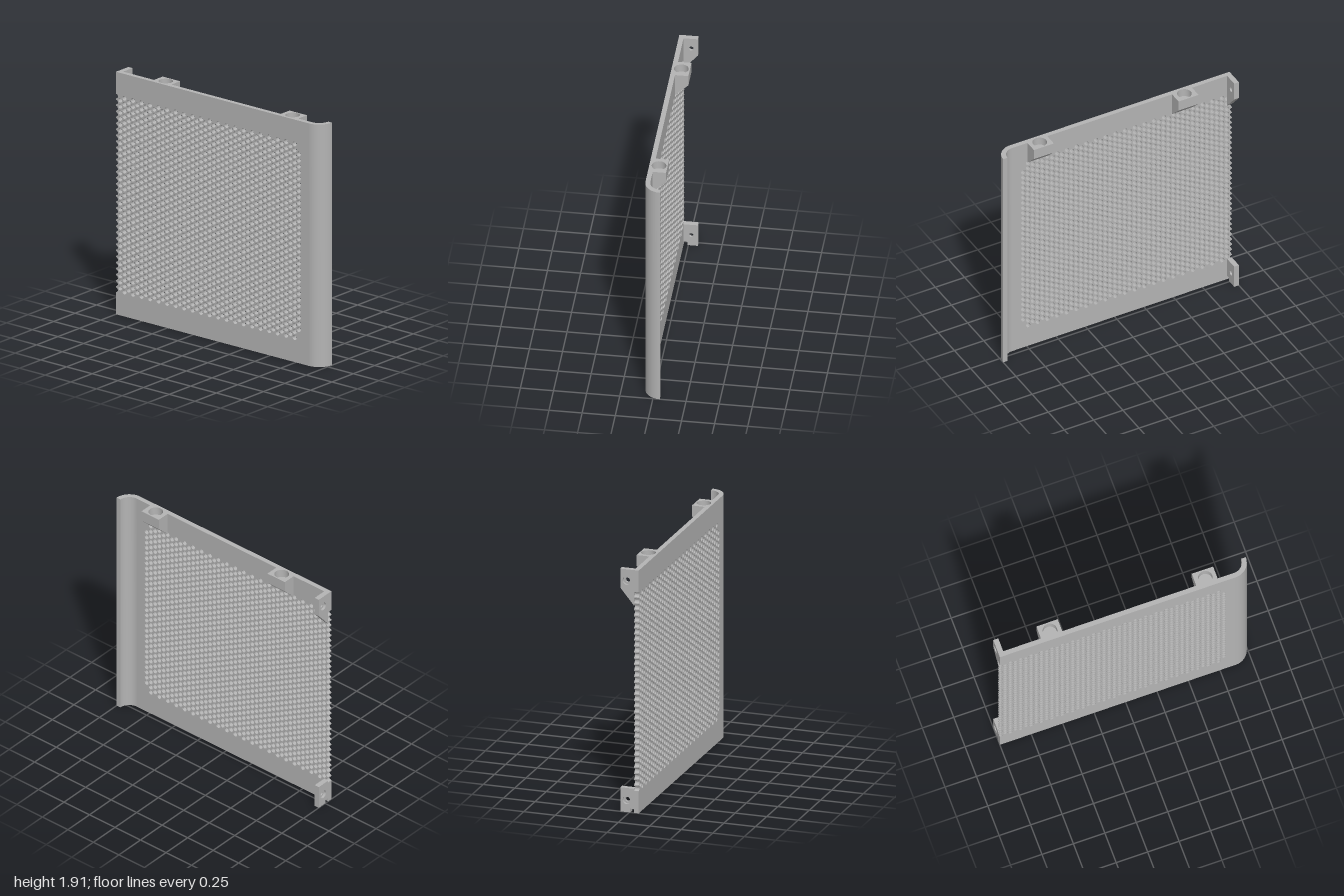
import * as THREE from 'three';
import { toCreasedNormals } from 'three/addons/utils/BufferGeometryUtils.js';

const H = 1.915;                     // panel height
const FRONT = 0.073, BACK = 0.036;   // z of the panel faces
const BEND = 0.875;                  // x where the rolled edge starts
const SOCKET_Y = 1.85;               // floor of the round sockets
const SOCKETS = [-0.575, 0.66];      // x of the sockets

const polygon = (points) => new THREE.Shape(points.map(([x, y]) => new THREE.Vector2(x, y)));

function addHole(shape, x, y, r) {
  const path = new THREE.Path();
  path.absarc(x, y, r, 0, Math.PI * 2, true);
  shape.holes.push(path);
}

const extrude = (shape, depth, curveSegments = 12) =>
  new THREE.ExtrudeGeometry(shape, { depth, curveSegments, bevelEnabled: false });

// Shapes drawn in (x, -z), raised from y
const extrudeUp = (shape, y, height) =>
  toCreasedNormals(extrude(shape, height, 16).rotateX(-Math.PI / 2).translate(0, y, 0), 0.5);

// Shapes drawn in (-z, y), running along x
const extrudeAcross = (shape, x, width) =>
  toCreasedNormals(extrude(shape, width).rotateY(Math.PI / 2).translate(x, 0, 0), 0.6);

// Flat plate with a staggered field of holes, cut through at the left border
function perforatedPlate() {
  const r = 0.0192, px = 0.0828, py = px / Math.sqrt(3), top = 1.723, rows = 33;
  const shape = new THREE.Shape();
  shape.moveTo(-1, 0);
  shape.lineTo(BEND, 0);
  shape.lineTo(BEND, SOCKET_Y);
  shape.lineTo(-1, SOCKET_Y);
  for (let j = 0; j < rows; j++) {
    const y = top - j * py;
    shape.lineTo(-1, y + r);
    shape.absarc(-1, y, r, Math.PI / 2, -Math.PI / 2, true);
  }
  shape.lineTo(-1, 0);
  for (let k = 0; k <= 21; k++) {
    if (k < 21) {
      for (let j = 0; j < rows; j++) addHole(shape, 0.739 - k * px, top - j * py, r);
    }
    const skip = k === 0 ? 1 : 0;    // the outermost column is shorter
    for (let j = skip; j < rows - 1 - skip; j++) {
      addHole(shape, 0.739 + px / 2 - k * px, top - (j + 0.5) * py, r);
    }
  }
  return extrude(shape, FRONT - BACK, 6).translate(0, 0, BACK);
}

// Top edge of the panel including the socket blocks
function topStrip() {
  const points = [[-1, -FRONT], [BEND, -FRONT], [BEND, -BACK]];
  for (const x of [...SOCKETS].reverse()) {
    points.push([x + 0.085, -BACK], [x + 0.085, 0.065], [x - 0.085, 0.065], [x - 0.085, -BACK]);
  }
  points.push([-1, -BACK]);
  const shape = polygon(points);
  for (const x of SOCKETS) addHole(shape, x, 0, 0.055);
  return extrudeUp(shape, SOCKET_Y, H - SOCKET_Y);
}

// Quarter-round lip along the full height
function rolledEdge() {
  const c = 0.052, shape = new THREE.Shape();
  shape.absarc(BEND, c, c + FRONT, -Math.PI / 2, 0, false);
  shape.lineTo(BEND + c + BACK, c);
  shape.absarc(BEND, c, c + BACK, 0, -Math.PI / 2, true);
  return extrudeUp(shape, 0, H);
}

export function createModel() {
  const group = new THREE.Group();
  const grey = new THREE.MeshStandardMaterial({ color: 0xb4b4b4 });
  grey.name = 'grey';
  const add = (name, geometry) => {
    const mesh = new THREE.Mesh(geometry, grey);
    mesh.name = name;
    group.add(mesh);
  };

  add('perforatedPlate', perforatedPlate());
  add('topStrip', topStrip());
  add('rolledEdge', rolledEdge());

  // Sloped undersides of the socket blocks
  for (const x of SOCKETS) {
    const wedge = polygon([[-BACK, 1.73], [0.065, 1.83], [0.065, SOCKET_Y], [-BACK, SOCKET_Y]]);
    add('socketBase', extrudeAcross(wedge, x - 0.085, 0.17));
  }

  // Screw tabs on the left border, counterbored from the outside
  const upper = [[-BACK, 1.635], [0.073, 1.765], [0.073, H], [-BACK, H]];
  const lower = [[-BACK, 0.03], [-0.005, 0.03], [-0.005, 0], [0.073, 0], [0.073, 0.19], [-BACK, 0.19]];
  for (const [name, outline, y] of [['upperTab', upper, 1.825], ['lowerTab', lower, 0.095]]) {
    for (const [x, r] of [[-1, 0.032], [-0.98, 0.018]]) {
      const shape = polygon(outline);
      addHole(shape, 0.022, y, r);
      add(name, extrudeAcross(shape, x, 0.02));
    }
  }
  return group;
}
